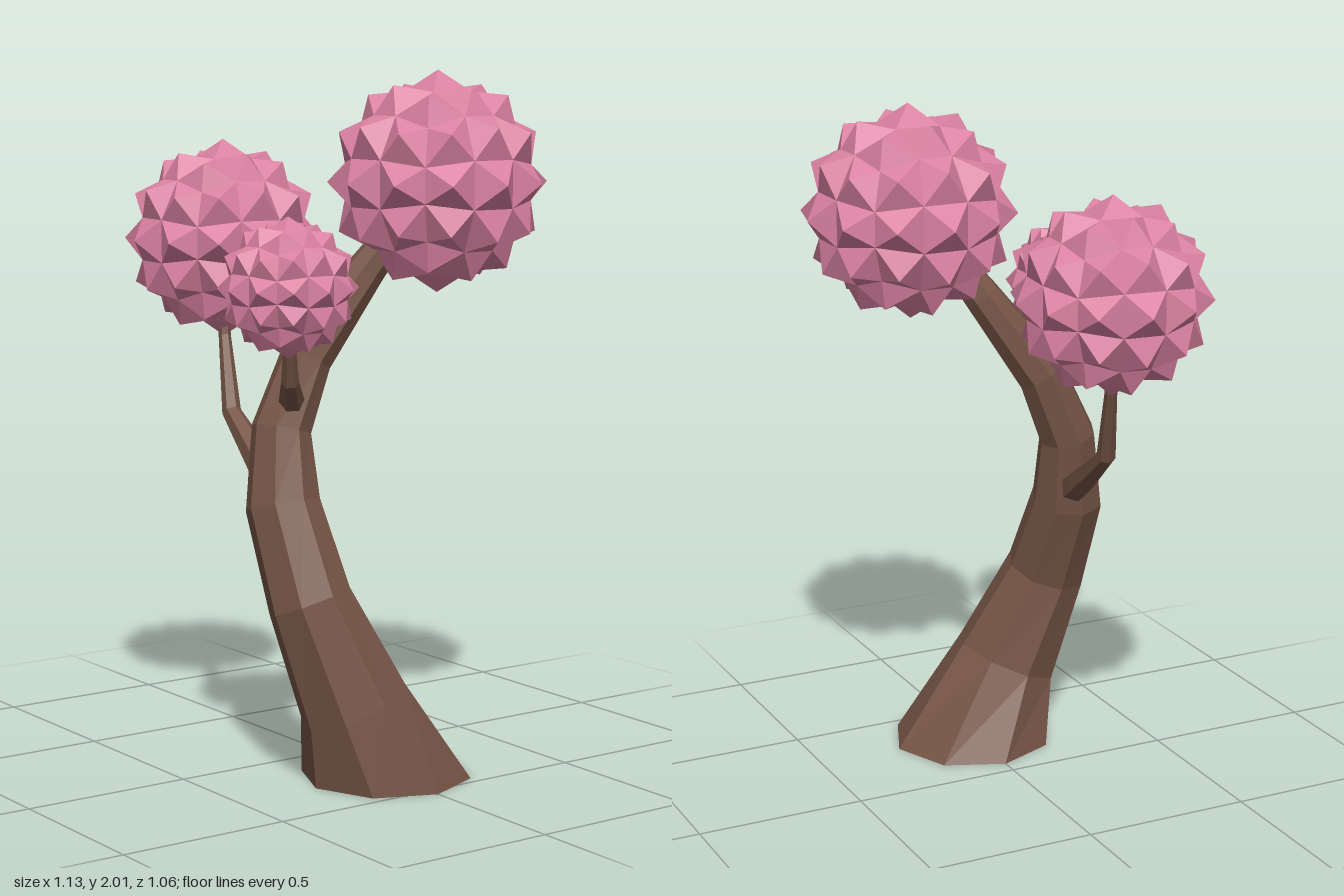
import * as THREE from 'three';

const bark = new THREE.MeshStandardMaterial({ color: 0x765546, flatShading: true });
bark.name = 'bark brown';
const blossom = new THREE.MeshStandardMaterial({ color: 0xdb82a2, flatShading: true });
blossom.name = 'blossom pink';

function meshFrom(points, material, name) {
  const geometry = new THREE.BufferGeometry().setFromPoints(points);
  geometry.computeVertexNormals();
  const mesh = new THREE.Mesh(geometry, material);
  mesh.name = name;
  return mesh;
}

// Tapered limb through stations [x, y, z, radius], rings turned along the path
function limb(name, stations, sides, flatBase) {
  const centres = stations.map(s => new THREE.Vector3(s[0], s[1], s[2]));
  const up = new THREE.Vector3(0, 1, 0);
  const rings = stations.map((s, r) => {
    const next = centres[Math.min(r + 1, centres.length - 1)];
    const prev = centres[Math.max(r - 1, 0)];
    const dir = flatBase && r === 0 ? up : next.clone().sub(prev).normalize();
    const turn = new THREE.Quaternion().setFromUnitVectors(up, dir);
    return Array.from({ length: sides }, (_, i) => {
      const a = (i / sides) * Math.PI * 2;
      return new THREE.Vector3(Math.cos(a) * s[3], 0, Math.sin(a) * s[3])
        .applyQuaternion(turn).add(centres[r]);
    });
  });
  const pts = [];
  const last = rings.length - 1;
  for (let i = 0; i < sides; i++) {
    const j = (i + 1) % sides;
    for (let r = 0; r < last; r++) {
      const a = rings[r][i], b = rings[r][j], c = rings[r + 1][i], d = rings[r + 1][j];
      pts.push(a, c, b, b, c, d);
    }
    pts.push(centres[0], rings[0][i], rings[0][j]);
    pts.push(centres[last], rings[last][j], rings[last][i]);
  }
  return meshFrom(pts, bark, name);
}

// Spiky ball: a rounded cube of 3 x 3 cells per side, each raised to a pyramid
function spikyBall(name, x, y, z, radius, yaw) {
  const pts = [];
  const valley = radius * 0.86;
  const step = Math.PI / 6;
  for (let axis = 0; axis < 3; axis++) {
    for (const sign of [1, -1]) {
      const n = new THREE.Vector3().setComponent(axis, sign);
      const u = new THREE.Vector3().setComponent((axis + 1) % 3, 1);
      const v = new THREE.Vector3().crossVectors(n, u);
      const at = (a, b, r) => n.clone().addScaledVector(u, Math.tan(a))
        .addScaledVector(v, Math.tan(b)).setLength(r);
      for (let i = -1; i <= 1; i++) {
        for (let j = -1; j <= 1; j++) {
          const tip = at(i * step, j * step, radius);
          const base = [[-1, -1], [1, -1], [1, 1], [-1, 1]].map(([p, q]) =>
            at((i + p / 2) * step, (j + q / 2) * step, valley));
          base.forEach((corner, k) => pts.push(corner, base[(k + 1) % 4], tip));
        }
      }
    }
  }
  const ball = meshFrom(pts, blossom, name);
  ball.position.set(x, y, z);
  ball.rotation.y = yaw;
  return ball;
}

export function createModel() {
  const tree = new THREE.Group();
  tree.name = 'tree';

  // Leaning trunk
  tree.add(limb('trunk', [
    [0.295, 0, 0, 0.245],
    [0.305, 0.24, 0.125, 0.16],
    [0.25, 0.53, 0.235, 0.122],
    [0.148, 0.79, 0.255, 0.108],
    [0.108, 1.0, 0.232, 0.086],
    [0.108, 1.2, 0.145, 0.075],
    [0.165, 1.44, -0.02, 0.056],
    [0.22, 1.6, -0.13, 0.04],
  ], 8, true));

  // Side branches
  tree.add(limb('rightBranch', [
    [0.1, 0.83, 0.24, 0.05],
    [0.02, 0.875, 0.23, 0.045],
    [-0.18, 1.015, 0.21, 0.028],
    [-0.26, 1.23, 0.18, 0.018],
    [-0.28, 1.4, 0.17, 0.014],
  ], 6, false));
  tree.add(limb('leftBranch', [
    [0.1, 1.06, 0.19, 0.042],
    [0.17, 1.09, 0.24, 0.036],
    [0.235, 1.15, 0.29, 0.025],
    [0.27, 1.25, 0.315, 0.018],
    [0.29, 1.36, 0.33, 0.014],
  ], 6, false));

  // Blossom crowns
  tree.add(spikyBall('topCrown', 0.25, 1.69, -0.21, 0.315, 0));
  tree.add(spikyBall('rightCrown', -0.28, 1.515, 0.17, 0.288, -0.1));
  tree.add(spikyBall('leftCrown', 0.295, 1.42, 0.337, 0.194, 0));
  return tree;
}
